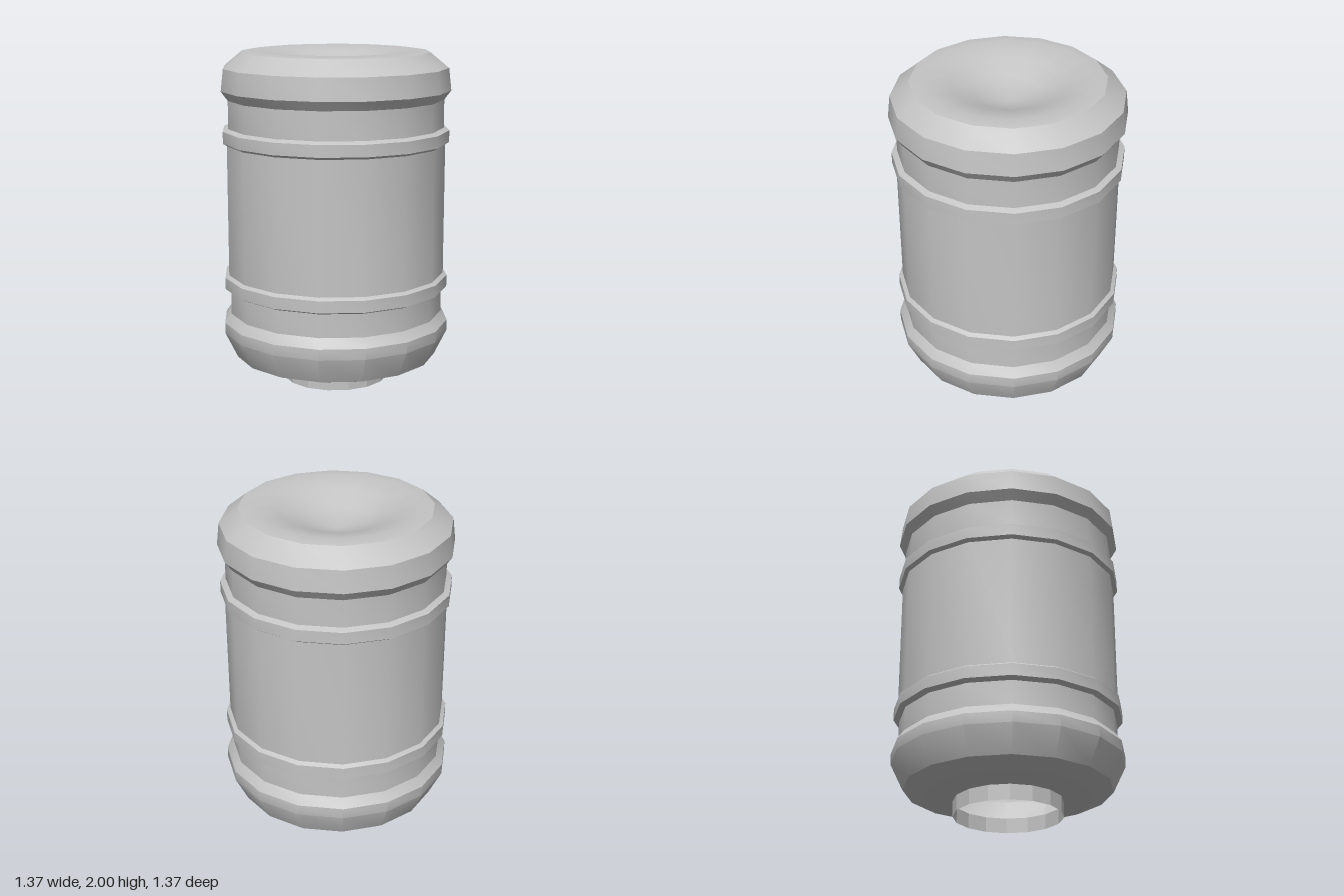
import * as THREE from 'three';
import { toCreasedNormals } from 'three/addons/utils/BufferGeometryUtils.js';

const SIDES = 16;

export function createModel() {
  const group = new THREE.Group();
  const plastic = new THREE.MeshStandardMaterial({ color: 0xc4c4c4, side: THREE.DoubleSide });
  plastic.name = 'grey plastic';

  // Turned section of the shell; the profile runs upwards as [radius, height]
  function turned(name, profile, crease = 0.55) {
    const points = profile.map(([r, y]) => new THREE.Vector2(r, y));
    const geometry = toCreasedNormals(new THREE.LatheGeometry(points, SIDES), crease);
    const mesh = new THREE.Mesh(geometry, plastic);
    mesh.name = name;
    group.add(mesh);
  }

  // Open neck, faceted
  turned('neck', [[0.32, 0], [0.32, 0.09]], 0.2);

  // Shoulder with its bulge, up to the lower rib
  turned('shoulder', [
    [0.32, 0.09], [0.43, 0.09], [0.61, 0.155], [0.685, 0.31],
    [0.685, 0.375], [0.645, 0.43], [0.645, 0.57],
  ]);

  // Two raised ribs
  for (const [name, y, low, high] of [['lowerRib', 0.57, 0.645, 0.655], ['upperRib', 1.45, 0.655, 0.645]]) {
    turned(name, [[low, y], [0.678, y + 0.015], [0.678, y + 0.085], [high, y + 0.1]]);
  }

  // Straight wall between the ribs
  turned('body', [[0.655, 0.67], [0.655, 1.45]]);

  // Recessed band, rounded base rim and dished base
  turned('base', [
    [0.645, 1.55], [0.645, 1.715], [0.685, 1.77], [0.67, 1.9], [0.56, 1.99],
    [0.48, 2.0], [0.33, 1.965], [0.2, 1.905], [0, 1.85],
  ]);

  return group;
}
